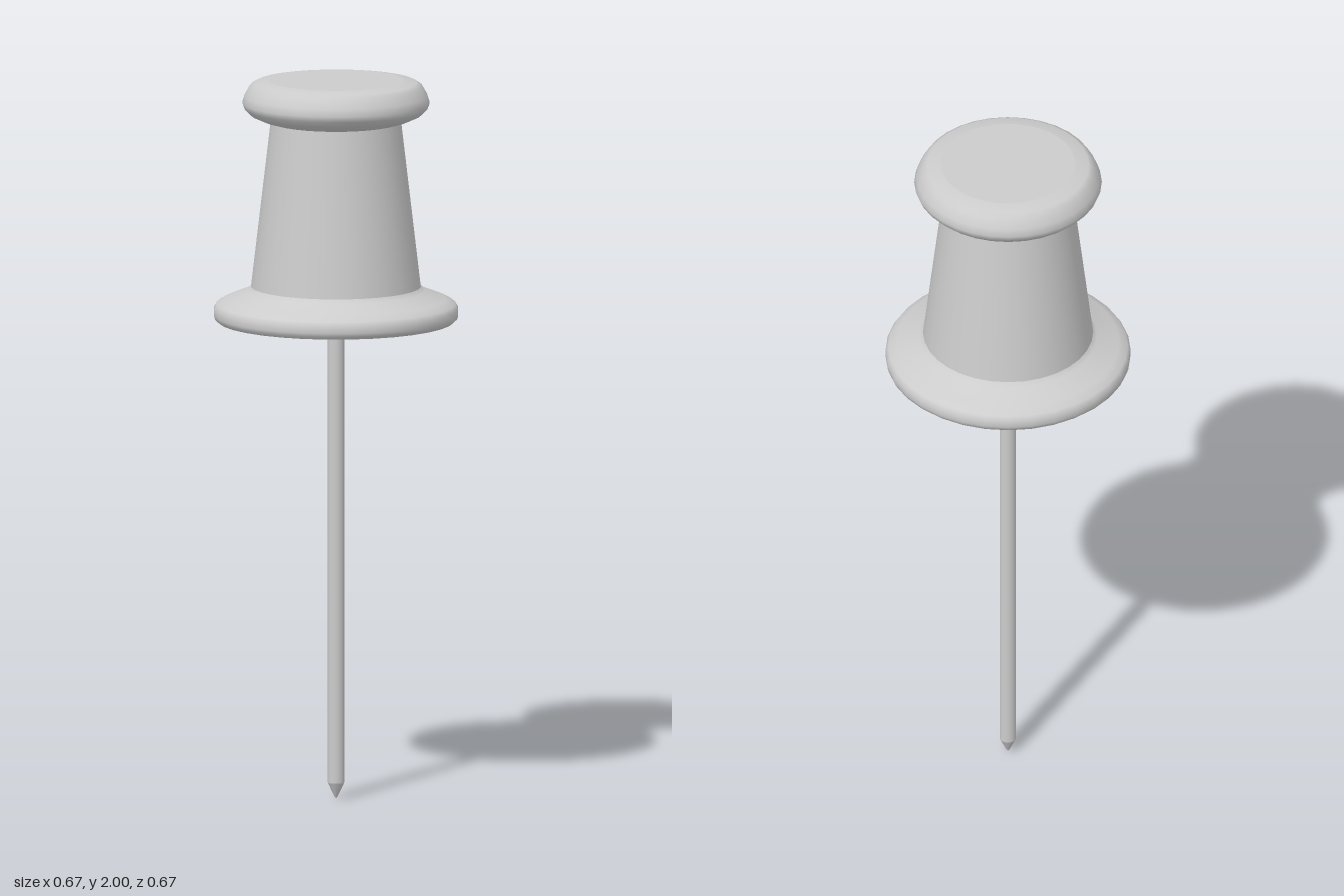
import * as THREE from 'three';

const plastic = new THREE.MeshStandardMaterial({ color: 0xcccccc });
plastic.name = 'light grey';

// Turned part from [radius, height] pairs listed bottom to top
function turned(name, profile, segments) {
  const points = profile.map(([r, y]) => new THREE.Vector2(r, y));
  const mesh = new THREE.Mesh(new THREE.LatheGeometry(points, segments), plastic);
  mesh.name = name;
  return mesh;
}

export function createModel() {
  const group = new THREE.Group();
  group.name = 'pushPin';

  // Wide collar: flat underside, rounded rim, sloping shoulder
  group.add(turned('collarUnderside', [[0, 1.33], [0.325, 1.33]], 32));
  group.add(turned('collar', [
    [0.325, 1.33], [0.334, 1.338], [0.337, 1.348], [0.337, 1.365],
    [0.329, 1.379], [0.305, 1.392], [0.245, 1.415], [0.234, 1.427],
  ], 32));

  // Tapered grip
  group.add(turned('grip', [[0.234, 1.427], [0.18, 1.885]], 32));

  // Rounded cap with a flat top
  group.add(turned('cap', [
    [0.18, 1.885], [0.205, 1.892], [0.236, 1.906], [0.252, 1.922],
    [0.258, 1.938], [0.252, 1.958], [0.237, 1.985], [0.222, 1.994], [0.185, 2],
  ], 32));
  group.add(turned('capTop', [[0.185, 2], [0, 2]], 32));

  // Needle and its point
  group.add(turned('needle', [[0.023, 0.045], [0.023, 1.34]], 16));
  group.add(turned('needlePoint', [[0, 0], [0.005, 0.007], [0.023, 0.045]], 16));

  return group;
}
